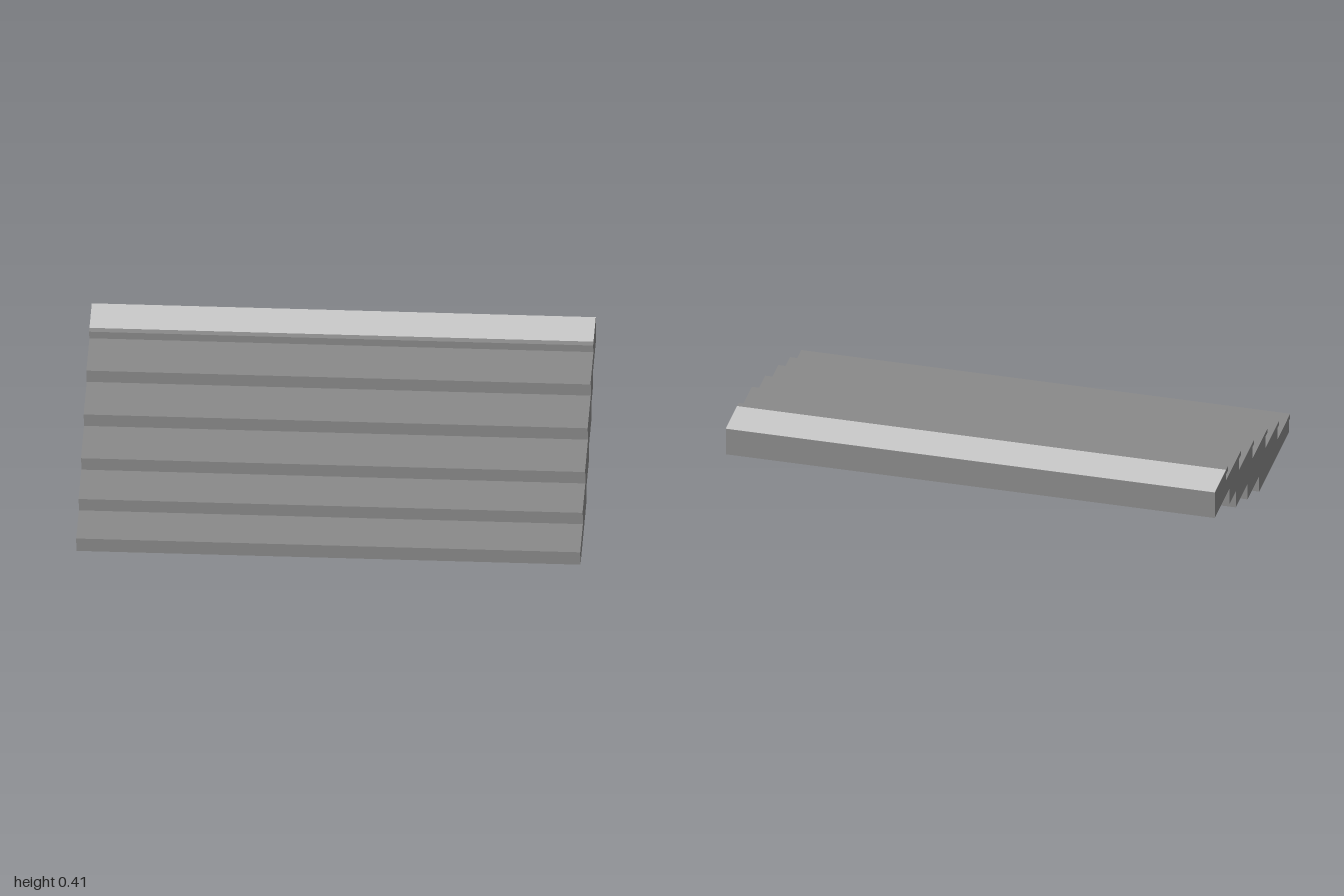
import * as THREE from 'three';

const WIDTH = 2;
const LIP = 0.02; // nosing thickness

// Each step from the bottom up: nosing front z, riser z, tread height
const STEPS = [
  [0.605, 0.583, 0.072],
  [0.425, 0.397, 0.143],
  [0.237, 0.208, 0.215],
  [0.027, -0.002, 0.287],
  [-0.185, -0.214, 0.358],
  [-0.397, -0.424, 0.406],
];

// Stepped underside from the back down: z of back face, height of soffit
const UNDERSIDE = [
  [-0.605, 0.289],
  [-0.37, 0.218],
  [-0.267, 0.143],
  [-0.08, 0.072],
  [0.107, 0],
];

export function createModel() {
  const stone = new THREE.MeshStandardMaterial({ color: 0x8a8a8a });
  stone.name = 'grey stone';
  const pale = new THREE.MeshStandardMaterial({ color: 0xcacaca });
  pale.name = 'pale landing';

  const group = new THREE.Group();
  group.name = 'staircase';

  // Side profile: treads with overhanging nosings, then the underside
  const points = [];
  let floor = 0;
  for (const [nose, riser, top] of STEPS) {
    points.push([riser, floor], [riser, top - LIP], [nose, top - LIP], [nose, top]);
    floor = top;
  }
  for (const [back, soffit] of UNDERSIDE) {
    points.push([back, floor], [back, soffit]);
    floor = soffit;
  }
  const profile = new THREE.Shape(points.map(([z, y]) => new THREE.Vector2(z, y)));
  const geometry = new THREE.ExtrudeGeometry(profile, { depth: WIDTH, bevelEnabled: false });
  geometry.rotateY(-Math.PI / 2).translate(WIDTH / 2, 0, 0);
  const steps = new THREE.Mesh(geometry, stone);
  steps.name = 'steps';
  group.add(steps);

  // Pale face on the top landing, behind the last nosing
  const front = -0.424, back = -0.605;
  const face = new THREE.PlaneGeometry(WIDTH, front - back).rotateX(-Math.PI / 2);
  const landing = new THREE.Mesh(face, pale);
  landing.position.set(0, 0.407, (front + back) / 2);
  landing.name = 'landing';
  group.add(landing);

  return group;
}
